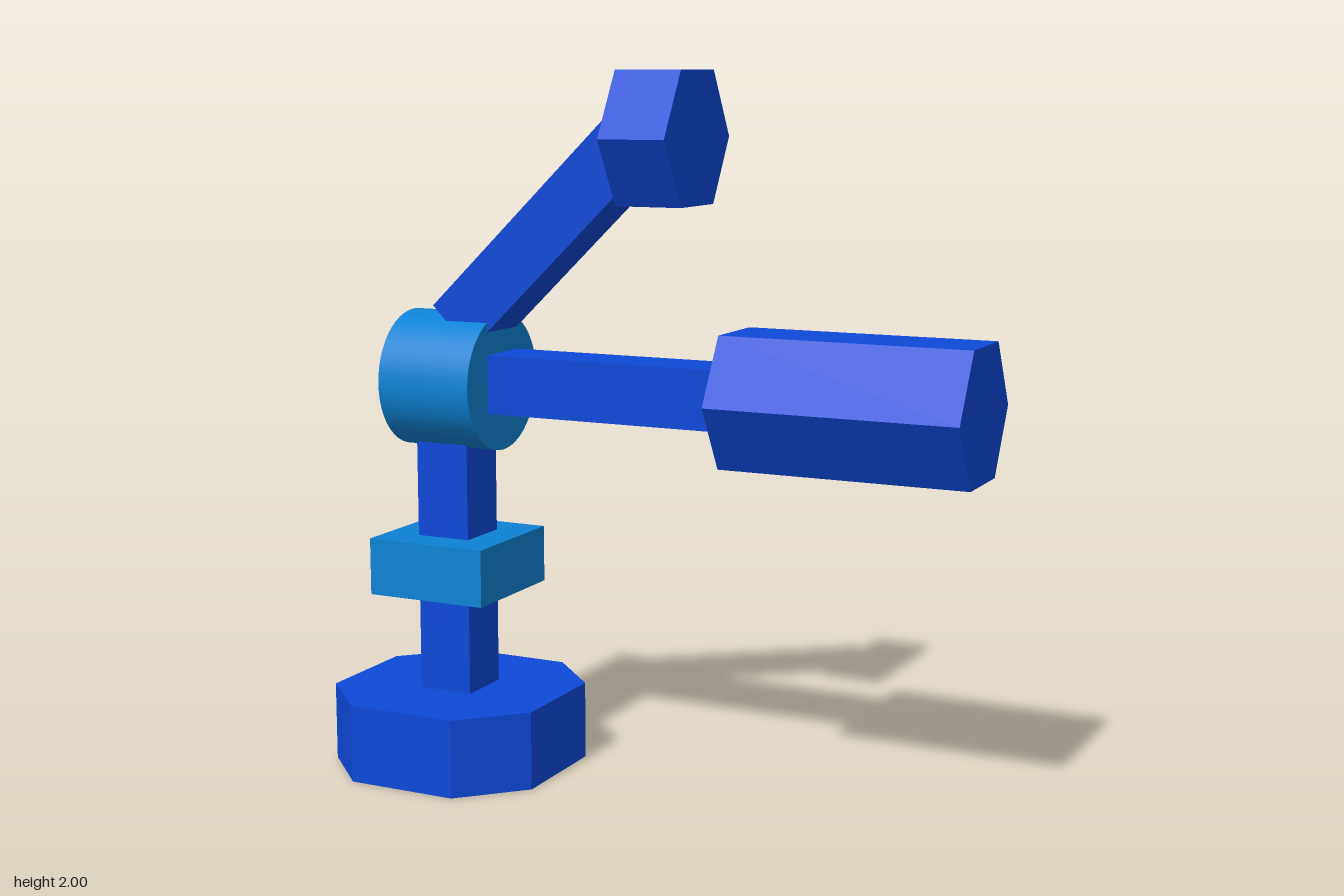
import * as THREE from 'three';

export function createModel() {
  const model = new THREE.Group();
  const blue = new THREE.MeshStandardMaterial({ color: 0x0d49d8 });
  const teal = new THREE.MeshStandardMaterial({ color: 0x0e82d4 });
  blue.name = 'royal blue';
  teal.name = 'teal blue';

  const add = (name, geometry, material, x, y, z = 0, parent = model) => {
    const mesh = new THREE.Mesh(geometry, material);
    mesh.name = name;
    mesh.position.set(x, y, z);
    parent.add(mesh);
    return mesh;
  };
  const box = (w, h, d) => new THREE.BoxGeometry(w, h, d);

  const postX = -0.62, hubY = 1.13;

  // Base: a square block with cut corners
  const a = 0.328, c = 0.163;
  const outline = new THREE.Shape([
    [a, c], [c, a], [-c, a], [-a, c], [-a, -c], [-c, -a], [c, -a], [a, -c],
  ].map(([x, y]) => new THREE.Vector2(x, y)));
  const baseGeometry = new THREE.ExtrudeGeometry(outline, { depth: 0.225, bevelEnabled: false });
  baseGeometry.rotateX(-Math.PI / 2);
  add('base', baseGeometry, blue, postX, 0);

  // Post with an inlaid strip on its outer side, and the collar around it
  add('post', box(0.164, 0.84, 0.164), blue, postX, 0.6);
  add('postStrip', box(0.004, 0.8, 0.1), teal, postX - 0.082, 0.6);
  add('collar', box(0.366, 0.164, 0.366), teal, postX, 0.597);

  // Round hub lying along x
  const hub = new THREE.CylinderGeometry(0.195, 0.195, 0.29, 48);
  hub.rotateZ(-Math.PI / 2);
  add('hub', hub, teal, -0.61, hubY);

  // Level arm
  add('levelArm', box(0.78, 0.166, 0.166), blue, -0.12, hubY + 0.002);

  // Sloping arm with an inlaid strip along its upper side
  const start = new THREE.Vector2(-0.58, 1.286);
  const end = new THREE.Vector2(-0.03, 1.818);
  const along = end.clone().sub(start);
  const slopingArm = new THREE.Group();
  slopingArm.name = 'slopingArm';
  slopingArm.position.set((start.x + end.x) / 2, (start.y + end.y) / 2, 0);
  slopingArm.rotation.z = along.angle();
  model.add(slopingArm);
  add('slopingArmBeam', box(along.length(), 0.17, 0.168), blue, 0, 0, 0, slopingArm);
  add('slopingArmStrip', box(along.length(), 0.004, 0.1), teal, 0, 0.085, 0, slopingArm);

  // Hexagonal ends: the face towards the hub is teal
  const hexagon = (name, x0, x1, y) => {
    const geometry = new THREE.CylinderGeometry(0.207, 0.207, x1 - x0, 6).toNonIndexed();
    geometry.rotateZ(-Math.PI / 2);
    geometry.computeVertexNormals();
    add(name, geometry, [blue, blue, teal], (x0 + x1) / 2, y);
  };
  hexagon('grip', 0.25, 0.947, hubY + 0.002);
  hexagon('head', -0.053, 0.14, 1.821);

  return model;
}
